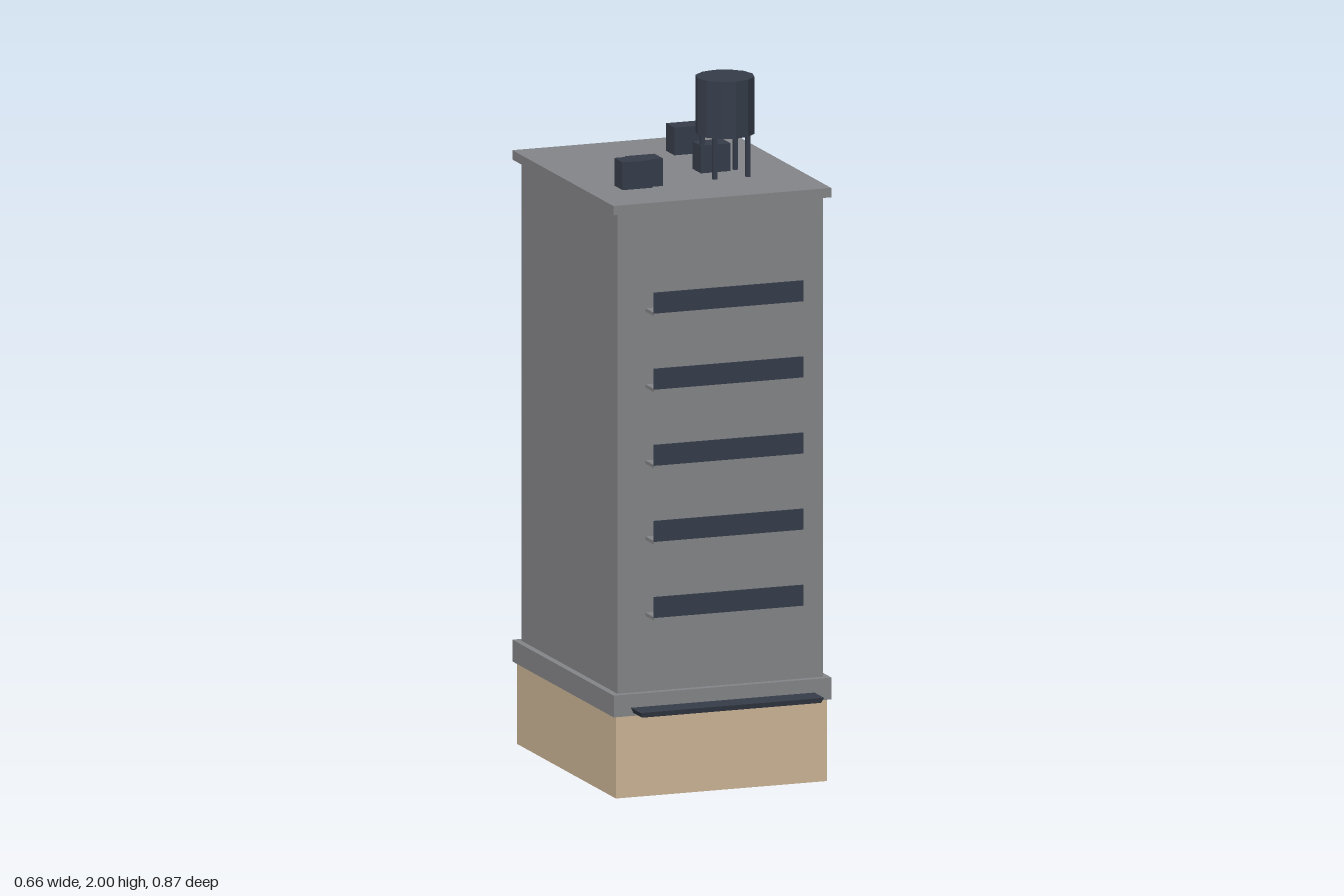
import * as THREE from 'three';

export function createModel() {
  const model = new THREE.Group();
  const concrete = new THREE.MeshStandardMaterial({ name: 'concrete grey', color: 0x848588 });
  const plaster = new THREE.MeshStandardMaterial({ name: 'tan plaster', color: 0xcdb596, side: THREE.DoubleSide });
  const metal = new THREE.MeshStandardMaterial({ name: 'dark slate metal', color: 0x363d4a, flatShading: true });

  // Box given by its limits on each axis
  function block(name, material, [x0, x1], [y0, y1], [z0, z1], parent = model) {
    const mesh = new THREE.Mesh(new THREE.BoxGeometry(x1 - x0, y1 - y0, z1 - z0), material);
    mesh.position.set((x0 + x1) / 2, (y0 + y1) / 2, (z0 + z1) / 2);
    mesh.name = name;
    parent.add(mesh);
    return mesh;
  }

  // Ground floor: four thin walls, open underneath
  const ground = new THREE.Group();
  ground.name = 'groundFloor';
  model.add(ground);
  const [gx, gy, gz0, gz1] = [0.32, 0.237, -0.425, 0.35];
  function wall(name, width, x, z, turn) {
    const mesh = new THREE.Mesh(new THREE.PlaneGeometry(width, gy), plaster);
    mesh.position.set(x, gy / 2, z);
    mesh.rotation.y = turn;
    mesh.name = name;
    ground.add(mesh);
  }
  const midZ = (gz0 + gz1) / 2;
  wall('frontWall', 2 * gx, 0, gz1, 0);
  wall('backWall', 2 * gx, 0, gz0, Math.PI);
  wall('leftWall', gz1 - gz0, gx, midZ, Math.PI / 2);
  wall('rightWall', gz1 - gz0, -gx, midZ, -Math.PI / 2);

  // Tower with its ledge and roof slab
  block('ledge', concrete, [-0.33, 0.33], [gy, 0.3], [-0.434, 0.359]);
  block('tower', concrete, [-0.311, 0.311], [0.3, 1.69], [-0.41, 0.339]);
  block('roofSlab', concrete, [-0.33, 0.33], [1.688, 1.715], [-0.434, 0.356]);

  // Entrance canopy, slightly narrower at the underside
  const canopy = block('canopy', metal, [-0.278, 0.278], [0.246, 0.261], [0.339, 0.434]);
  const corners = canopy.geometry.attributes.position;
  for (let i = 0; i < corners.count; i++) {
    if (corners.getY(i) < 0) {
      corners.setX(i, corners.getX(i) * 0.975);
      if (corners.getZ(i) > 0) corners.setZ(i, corners.getZ(i) - 0.005);
    }
  }
  canopy.geometry.computeVertexNormals();

  // Balconies: a slab with a solid front railing
  for (let i = 0; i < 5; i++) {
    const y = 0.518 + i * 0.22;
    const balcony = new THREE.Group();
    balcony.name = 'balcony';
    model.add(balcony);
    block('balconyFloor', concrete, [-0.226, 0.226], [y, y + 0.01], [0.339, 0.405], balcony);
    block('balconyRailing', metal, [-0.226, 0.226], [y + 0.008, y + 0.068], [0.402, 0.407], balcony);
  }

  // Rooftop ventilation units
  const units = [[-0.185, 0.138], [-0.149, 0.127], [0.101, 0.012], [0.117, -0.237]];
  for (const [x, z] of units) {
    block('roofUnit', metal, [x - 0.045, x + 0.045], [1.715, 1.795], [z - 0.0325, z + 0.0325]);
  }

  // Water tank on four legs
  const tank = new THREE.Group();
  tank.name = 'waterTank';
  tank.position.set(0.115, 0, 0.08);
  model.add(tank);
  const barrel = new THREE.Mesh(new THREE.CylinderGeometry(0.084, 0.084, 0.165, 12), metal);
  barrel.position.y = 1.9175;
  barrel.name = 'tankBarrel';
  tank.add(barrel);
  for (const x of [-0.05, 0.05]) {
    for (const z of [-0.05, 0.05]) {
      block('tankLeg', metal, [x - 0.006, x + 0.006], [1.715, 1.836], [z - 0.006, z + 0.006], tank);
    }
  }

  return model;
}
